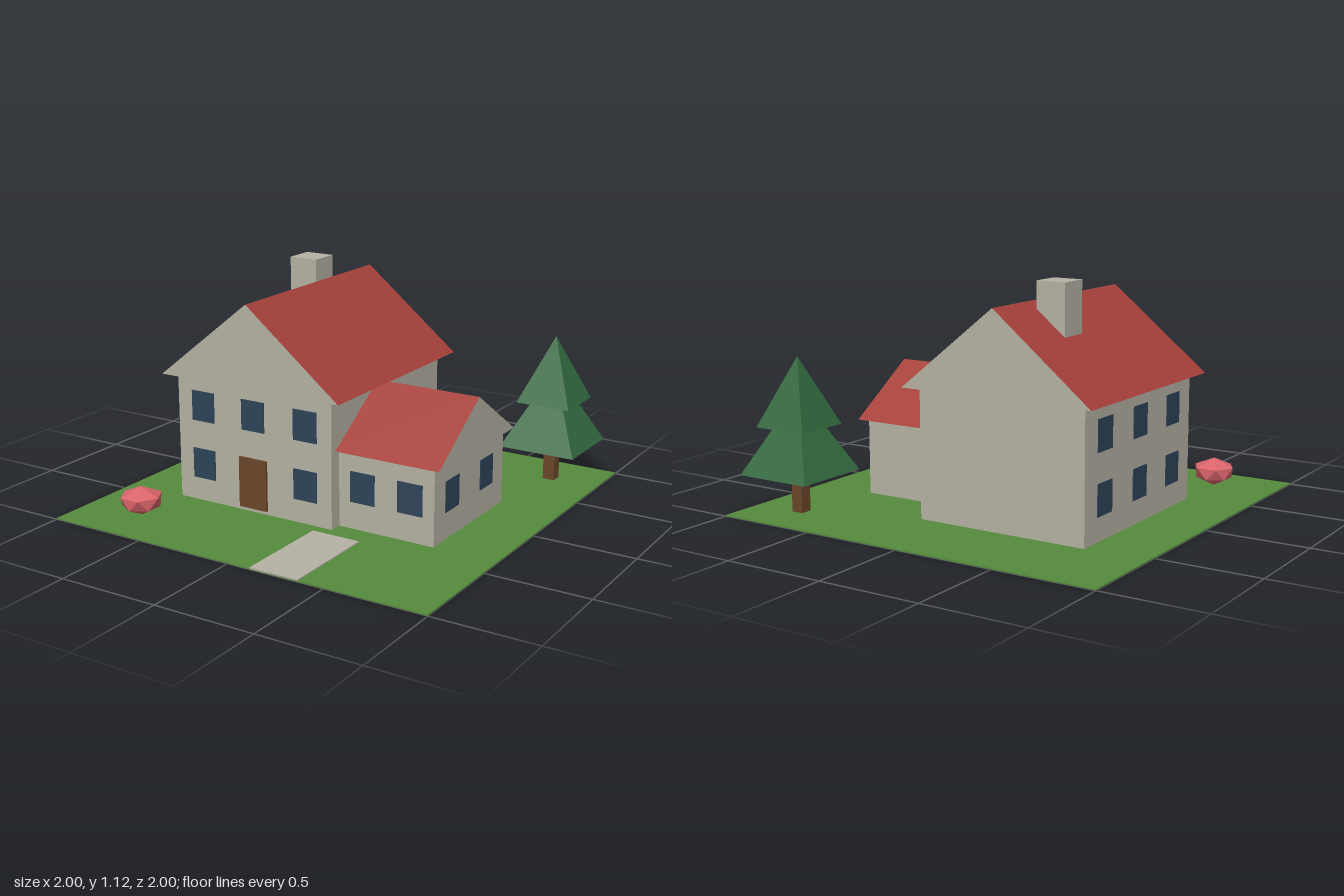
import * as THREE from 'three';
import { ConvexGeometry } from 'three/addons/geometries/ConvexGeometry.js';

const mat = (name, color) => {
  const m = new THREE.MeshStandardMaterial({ color, flatShading: true });
  m.name = name;
  return m;
};

export function createModel() {
  const grass = mat('grass', 0x558a3d);
  const stone = mat('stone', 0xb5b1a3);
  const roofRed = mat('roof red', 0xa5403a);
  const glass = mat('window blue', 0x2e4459);
  const wood = mat('wood brown', 0x6b472b);
  const leaf = mat('leaf green', 0x326a3e);
  const pink = mat('bush pink', 0xd9646b);

  const model = new THREE.Group();
  model.name = 'houseScene';

  const add = (parent, name, geometry, material) => {
    const mesh = new THREE.Mesh(geometry, material);
    mesh.name = name;
    parent.add(mesh);
    return mesh;
  };
  const group = (name) => {
    const g = new THREE.Group();
    g.name = name;
    model.add(g);
    return g;
  };
  // Box given by its minimum and maximum corners
  const block = (parent, name, material, x0, x1, y0, y1, z0, z1) => {
    const mesh = add(parent, name, new THREE.BoxGeometry(x1 - x0, y1 - y0, z1 - z0), material);
    mesh.position.set((x0 + x1) / 2, (y0 + y1) / 2, (z0 + z1) / 2);
    return mesh;
  };
  // Triangular prism roof: stone gable ends, red slopes and soffit
  const gableRoof = (parent, name, width, height, length) => {
    const half = width / 2;
    const shape = new THREE.Shape([
      new THREE.Vector2(-half, 0), new THREE.Vector2(half, 0), new THREE.Vector2(0, height),
    ]);
    const geometry = new THREE.ExtrudeGeometry(shape, { depth: length, bevelEnabled: false });
    geometry.translate(0, 0, -length / 2);
    return add(parent, name, geometry, [stone, roofRed]);
  };
  // Thin pane; sideways panes lie in a wall that faces along x
  const pane = (parent, x, y, z, sideways) => {
    const size = sideways ? [0.007, 0.15, 0.13] : [0.13, 0.15, 0.007];
    add(parent, 'window', new THREE.BoxGeometry(...size), glass).position.set(x, y, z);
  };

  // Ground and path
  block(model, 'ground', grass, -1, 1, 0, 0.006, -1, 1);
  block(model, 'path', stone, 0.12, 0.37, 0.003, 0.011, 0.5, 1);

  // Main house
  const house = group('mainHouse');
  block(house, 'walls', stone, -0.69, 0.185, 0.003, 0.63, -0.56, 0.44);
  gableRoof(house, 'mainRoof', 1, 0.4, 1.1).position.set(-0.25, 0.63, -0.063);
  block(house, 'chimney', stone, -0.44, -0.29, 0.7, 1.125, -0.315, -0.165);
  block(house, 'door', wood, -0.33, -0.175, 0.025, 0.275, 0.43, 0.453);
  for (const y of [0.195, 0.485]) {
    for (const x of [-0.543, -0.253, 0.04]) {
      if (y > 0.3 || x !== -0.253) pane(house, x, y, 0.44, false);
    }
    for (const z of [-0.385, -0.06, 0.265]) pane(house, -0.69, y, z, true);
  }

  // Side wing, its ridge running across
  const wing = group('sideWing');
  block(wing, 'wingWalls', stone, 0.18, 0.685, 0.003, 0.38, -0.31, 0.375);
  const wingRoof = gableRoof(wing, 'wingRoof', 0.755, 0.25, 0.54);
  wingRoof.rotation.y = Math.PI / 2;
  wingRoof.position.set(0.453, 0.38, 0.031);
  for (const x of [0.311, 0.56]) pane(wing, x, 0.213, 0.375, false);
  for (const z of [0.207, -0.135]) pane(wing, 0.685, 0.213, z, true);

  // Tree with two square tiers
  const tree = group('tree');
  tree.position.set(0.748, 0, -0.753);
  block(tree, 'trunk', wood, -0.03, 0.03, 0.003, 0.22, -0.03, 0.03);
  for (const [name, half, y0, y1] of [['lowerTier', 0.197, 0.195, 0.58], ['upperTier', 0.14, 0.42, 0.75]]) {
    const cone = new THREE.ConeGeometry(half * Math.SQRT2, y1 - y0, 4);
    cone.rotateY(Math.PI / 4);
    add(tree, name, cone, leaf).position.y = (y0 + y1) / 2;
  }

  // Faceted bush: two staggered six-sided rings between two poles
  const points = [new THREE.Vector3(0, 0.15, 0), new THREE.Vector3(0, 0.008, 0)];
  for (let i = 0; i < 6; i++) {
    const a = (i * Math.PI) / 3, b = a + Math.PI / 6;
    points.push(new THREE.Vector3(Math.cos(a) * 0.103, 0.106, Math.sin(a) * 0.103));
    points.push(new THREE.Vector3(Math.cos(b) * 0.09, 0.05, Math.sin(b) * 0.09));
  }
  add(model, 'bush', new ConvexGeometry(points), pink).position.set(-0.688, 0, 0.75);

  return model;
}
